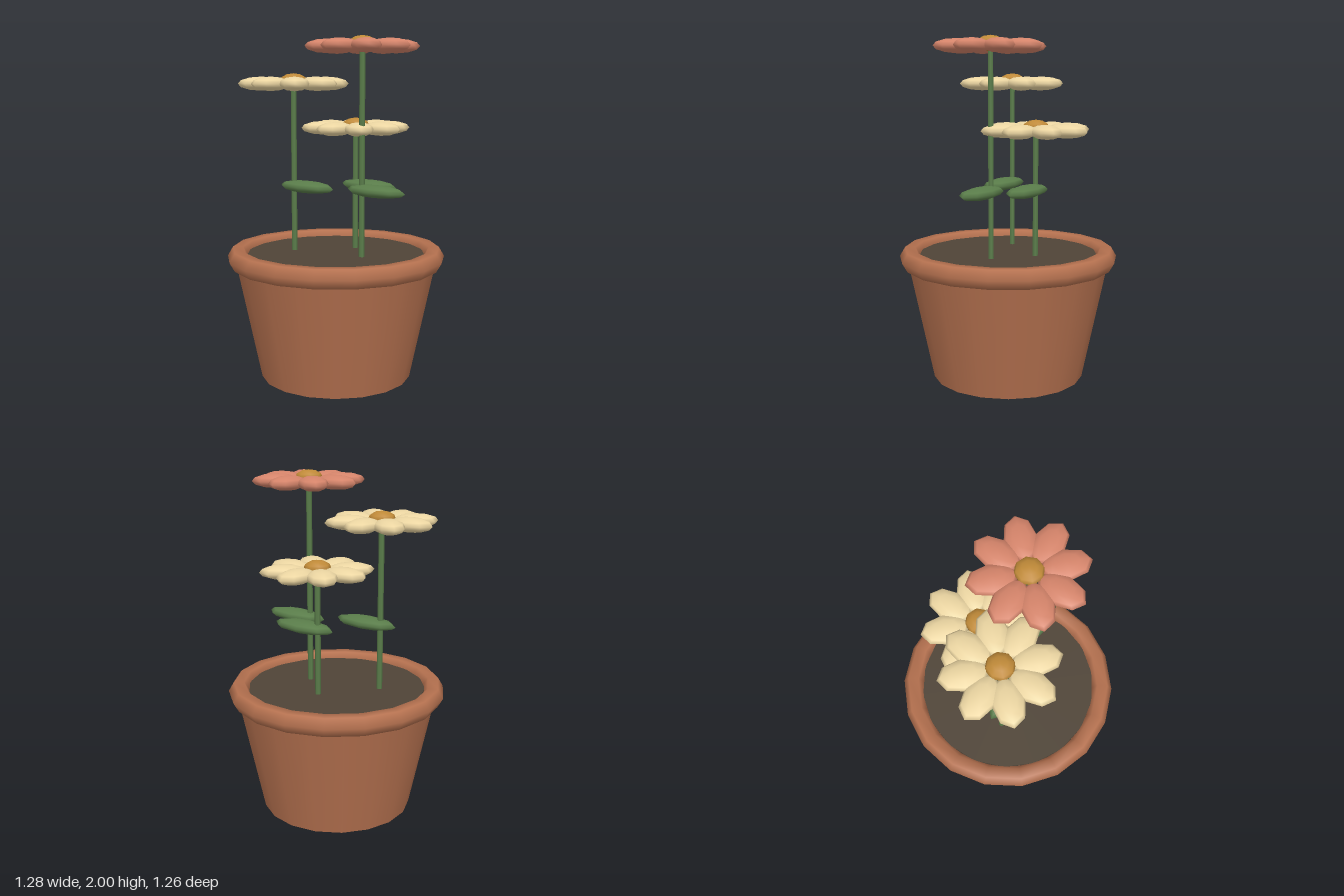
import * as THREE from 'three';

const material = (color) => new THREE.MeshStandardMaterial({ color });
const terracotta = material(0xb5714f);
const earth = material(0x4f4437);
const green = material(0x5a7d4a);
const cream = material(0xecd6a2);
const coral = material(0xd5846a);
const amber = material(0xc08a38);

function addMesh(parent, name, geometry, mat, x = 0, y = 0, z = 0) {
  const mesh = new THREE.Mesh(geometry, mat);
  mesh.name = name;
  mesh.position.set(x, y, z);
  parent.add(mesh);
  return mesh;
}

// Low-poly flattened blob shared by petals, flower centres and leaves
const ellipsoid = (rx, ry, rz) => new THREE.SphereGeometry(1, 8, 6).scale(rx, ry, rz);

const SOIL_Y = 0.74;
const petalShape = ellipsoid(0.137, 0.041, 0.0875);
const centreShape = ellipsoid(0.08, 0.045, 0.08);
const leafShape = ellipsoid(0.205, 0.036, 0.08);

// One flower: stem, leaf, ring of petals and domed centre
function makeFlower(name, x, z, headY, petalMat) {
  const flower = new THREE.Group();
  flower.name = name;
  flower.position.set(x, 0, z);

  const base = SOIL_Y - 0.03;
  const stem = new THREE.CylinderGeometry(0.017, 0.017, headY - base, 6);
  addMesh(flower, 'stem', stem, green, 0, (headY + base) / 2, 0);
  addMesh(flower, 'leaf', leafShape, green, 0.1, 1.13, 0);

  const head = new THREE.Group();
  head.name = 'flowerHead';
  head.position.y = headY;
  flower.add(head);
  for (let i = 0; i < 8; i++) {
    const a = (i * Math.PI) / 4;
    const petal = addMesh(head, 'petal', petalShape, petalMat, 0.187 * Math.cos(a), 0, -0.187 * Math.sin(a));
    petal.rotation.y = a;
  }
  addMesh(head, 'flowerCentre', centreShape, amber, 0, 0.015, 0);
  return flower;
}

export function createModel() {
  const model = new THREE.Group();
  model.name = 'flowerPot';

  // Tapered pot with a thick rolled rim
  addMesh(model, 'pot', new THREE.CylinderGeometry(0.595, 0.445, 0.72, 18), terracotta, 0, 0.36, 0);
  const rim = new THREE.TorusGeometry(0.58, 0.062, 6, 18).rotateX(Math.PI / 2);
  addMesh(model, 'rim', rim, terracotta, 0, 0.72, 0);
  addMesh(model, 'soil', new THREE.CylinderGeometry(0.525, 0.525, 0.06, 18), earth, 0, SOIL_Y - 0.03, 0);

  // Three flowers of different heights
  model.add(
    makeFlower('tallFlower', 0.196, 0, 1.94, coral),
    makeFlower('middleFlower', -0.236, 0.105, 1.73, cream),
    makeFlower('shortFlower', 0, -0.182, 1.47, cream),
  );
  return model;
}
